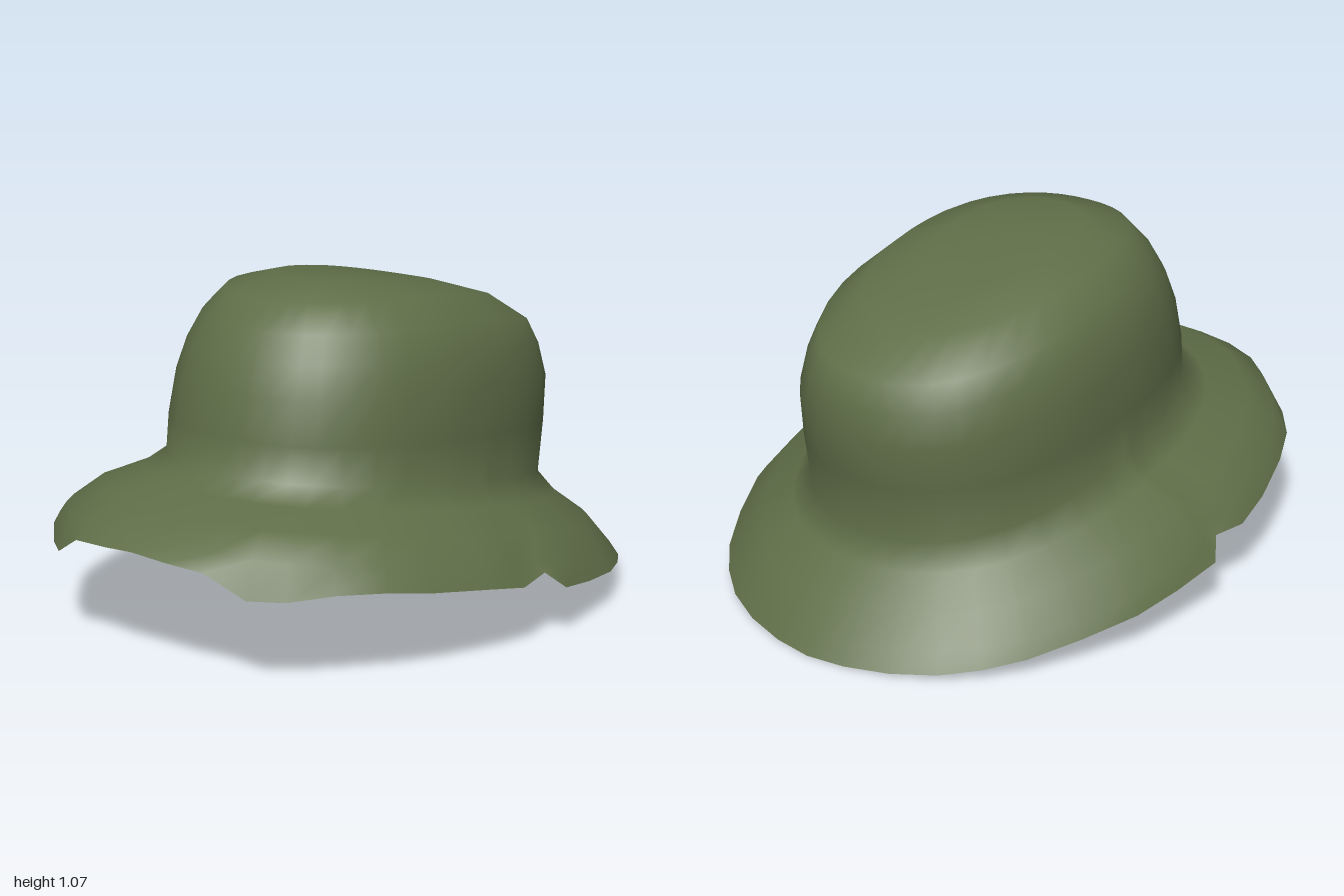
import * as THREE from 'three';

// Right half of the brim's rim, from back to front: [x, y, z]
const RIM = [
  [0, 0, -1], [0.13, 0.003, -0.985], [0.27, 0.01, -0.945], [0.4, 0.02, -0.88], [0.5, 0.035, -0.8],
  [0.59, 0.055, -0.7], [0.68, 0.085, -0.55], [0.76, 0.115, -0.38], [0.79, 0.135, -0.21],
  [0.815, 0.165, -0.04], [0.775, 0.22, 0.02], [0.79, 0.21, 0.15], [0.77, 0.24, 0.3], [0.71, 0.27, 0.5],
  [0.65, 0.295, 0.64], [0.56, 0.3, 0.76], [0.46, 0.285, 0.86], [0.37, 0.29, 0.93],
  [0.25, 0.36, 0.975], [0.12, 0.37, 0.995], [0, 0.378, 1],
];

// Crown rings: front z, front y, back z, back y, half width, side y
const CROWN = [
  [0.62, 0.53, -0.72, 0.3, 0.495, 0.44],
  [0.61, 0.64, -0.75, 0.48, 0.493, 0.58],
  [0.575, 0.77, -0.765, 0.62, 0.485, 0.73],
  [0.54, 0.86, -0.745, 0.72, 0.455, 0.84],
  [0.49, 0.945, -0.71, 0.8, 0.415, 0.92],
  [0.42, 1.025, -0.55, 0.905, 0.33, 1.0],
  [0.26, 1.065, -0.33, 0.98, 0.2, 1.035],
];

// Brim rings: distance from crown to rim, and lift above a straight slope
const BRIM = [[0.88, 0.012], [0.6, 0.025], [0.22, -0.008]];

// Rounded oval ring, tilted from back to front
function crownRing([zf, yf, zb, yb, w, ys], rim) {
  return rim.map(([x, , z]) => {
    const a = Math.atan2(x / 0.8, z);
    const s = Math.sin(a), c = Math.cos(a);
    const r = Math.pow(Math.pow(Math.abs(s), 2.3) + Math.pow(Math.abs(c), 2.3), -1 / 2.3);
    const u = c * r;
    const y = (yf + yb) / 2 + (yf - yb) / 2 * u + (ys - (yf + yb) / 2) * (1 - u * u);
    return [w * s * r, y, (zf + zb) / 2 + (zf - zb) / 2 * u];
  });
}

export function createModel() {
  const felt = new THREE.MeshStandardMaterial({ color: 0x5f6e48, side: THREE.DoubleSide });
  felt.name = 'olive green';

  // Mirror the half rim into a full loop
  const rim = [...RIM, ...RIM.slice(1, -1).reverse().map(([x, y, z]) => [-x, y, z])];
  const n = rim.length;
  const crownRings = CROWN.map((row) => crownRing(row, rim));
  const base = crownRings[0];

  // The inner brim follows an even slope, so that the wave stays at the rim
  const brimRings = BRIM.map(([t, lift]) => rim.map(([x, , z], i) => [
    THREE.MathUtils.lerp(base[i][0], x, t),
    THREE.MathUtils.lerp(base[i][1], 0.19 + 0.19 * z, t) + lift,
    THREE.MathUtils.lerp(base[i][2], z, t),
  ]));

  const rings = [rim, ...brimRings, ...crownRings];
  const points = [...rings.flat(2), 0, 1.045, 0];
  const brimIndex = [], crownIndex = [];
  for (let r = 0; r < rings.length; r++) {
    const index = r <= BRIM.length ? brimIndex : crownIndex;
    for (let i = 0; i < n; i++) {
      const a = r * n + i, b = r * n + (i + 1) % n;
      if (r === rings.length - 1) index.push(a, rings.length * n, b);
      else index.push(a, a + n, b, b, a + n, b + n);
    }
  }

  // Normals are shared, so the crown flows smoothly into the brim
  const shell = new THREE.BufferGeometry();
  shell.setAttribute('position', new THREE.Float32BufferAttribute(points, 3));
  shell.setIndex([...brimIndex, ...crownIndex]);
  shell.computeVertexNormals();

  const hat = new THREE.Group();
  hat.name = 'bucketHat';
  for (const [name, index] of [['brim', brimIndex], ['crown', crownIndex]]) {
    const geometry = shell.clone();
    geometry.setIndex(index);
    const mesh = new THREE.Mesh(geometry, felt);
    mesh.name = name;
    hat.add(mesh);
  }
  return hat;
}
